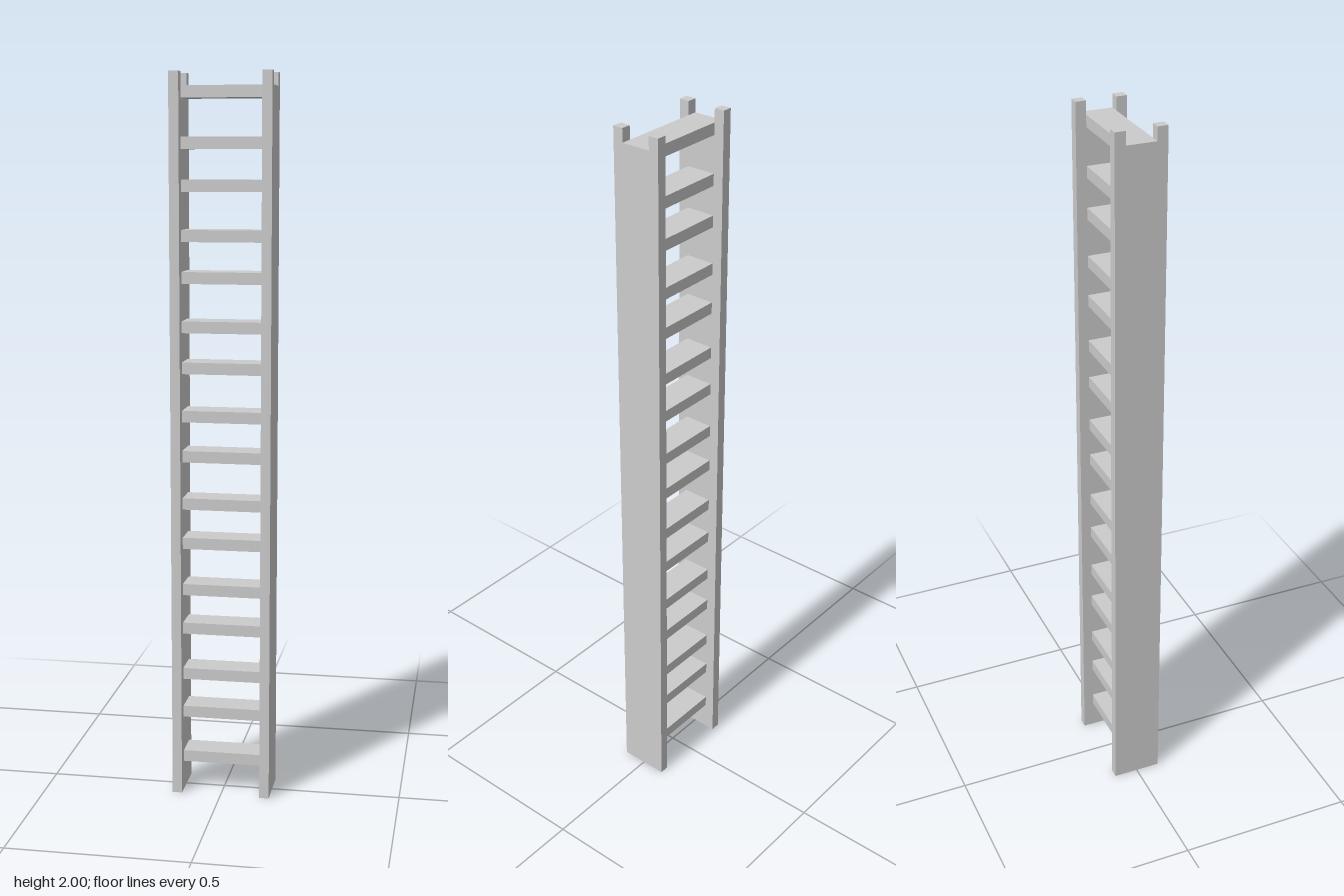
import * as THREE from 'three';

const HEIGHT = 2, RAIL_DEPTH = 0.139, RAIL_THICK = 0.027, HALF_WIDTH = 0.138;
const RUNG_DEPTH = 0.082, RUNG_THICK = 0.032, NOTCH_Y = 1.964;

export function createModel() {
  const ladder = new THREE.Group();
  ladder.name = 'ladder';
  const material = new THREE.MeshStandardMaterial({ color: 0xcccccc, flatShading: true });

  // Side rail profile: a plank with a notch cut in its top end
  const d = RAIL_DEPTH / 2, n = RUNG_DEPTH / 2;
  const profile = new THREE.Shape([
    [-d, 0], [d, 0], [d, HEIGHT], [n, HEIGHT],
    [n, NOTCH_Y], [-n, NOTCH_Y], [-n, HEIGHT], [-d, HEIGHT],
  ].map(([z, y]) => new THREE.Vector2(z, y)));
  const railGeometry = new THREE.ExtrudeGeometry(profile, { depth: RAIL_THICK, bevelEnabled: false });
  railGeometry.translate(0, 0, -RAIL_THICK / 2).rotateY(Math.PI / 2);

  for (const side of [-1, 1]) {
    const rail = new THREE.Mesh(railGeometry, material);
    rail.name = side > 0 ? 'leftRail' : 'rightRail';
    rail.position.x = side * (HALF_WIDTH - RAIL_THICK / 2);
    ladder.add(rail);
  }

  // Rungs: two interleaved rows, each evenly spaced; the top rung is flush with the notch
  const rungGeometry = new THREE.BoxGeometry(2 * (HALF_WIDTH - RAIL_THICK), RUNG_THICK, RUNG_DEPTH);
  for (let i = 0; i < 8; i++) {
    for (const start of [0.1, 0.233]) {
      const rung = new THREE.Mesh(rungGeometry, material);
      rung.name = 'rung';
      rung.position.y = start + i * 0.245;
      ladder.add(rung);
    }
  }
  return ladder;
}
